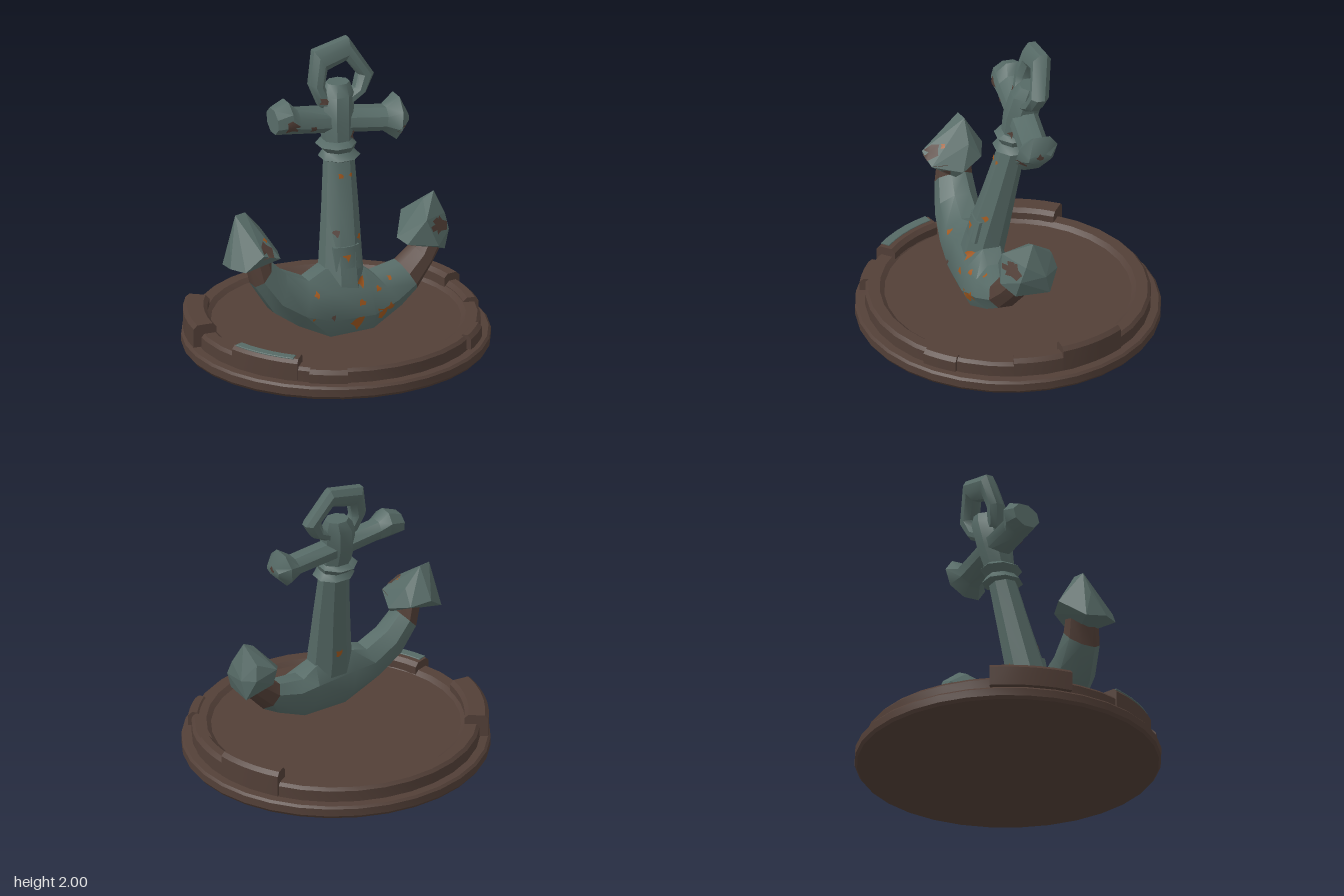
import * as THREE from 'three';
import { toCreasedNormals } from 'three/addons/utils/BufferGeometryUtils.js';
import { ConvexGeometry } from 'three/addons/geometries/ConvexGeometry.js';

const LEAN = -0.23; // the anchor leans backwards: change of z per unit of y
const leanZ = (y) => 0.27 + LEAN * y;
const V = (x, y, z) => new THREE.Vector3(x, y, z);

// Joins rings of points into a skin, with fan caps or closed into a loop
function loft(rings, closed = false, crease = 0.7) {
  const n = rings[0].length, m = rings.length, pts = rings.flat(), idx = [];
  for (let i = 0; i < (closed ? m : m - 1); i++) {
    const p = i * n, q = ((i + 1) % m) * n;
    for (let j = 0; j < n; j++) {
      const k = (j + 1) % n;
      idx.push(p + j, p + k, q + k, p + j, q + k, q + j);
    }
  }
  if (!closed) {
    [0, m - 1].forEach((r, end) => {
      const c = rings[r].reduce((s, v) => s.add(v), V(0, 0, 0)).divideScalar(n);
      const ci = pts.push(c) - 1;
      for (let j = 0; j < n; j++) {
        const a = r * n + j, b = r * n + (j + 1) % n;
        if (end) idx.push(ci, a, b); else idx.push(ci, b, a);
      }
    });
  }
  // turn the faces outwards
  let vol = 0;
  for (let i = 0; i < idx.length; i += 3) {
    vol += pts[idx[i]].dot(V(0, 0, 0).crossVectors(pts[idx[i + 1]], pts[idx[i + 2]]));
  }
  if (vol < 0) idx.reverse();
  const g = new THREE.BufferGeometry().setFromPoints(pts);
  g.setIndex(idx);
  return toCreasedNormals(g, crease);
}

// Octagonal section between two outline points (a, b), at depth z with half depth d
function section([ax, ay, bx, by, z, d]) {
  const ring = [], k = 1 / Math.cos(Math.PI / 8), cy = (ay + by) / 2;
  for (let i = 0; i < 8; i++) {
    const t = (i + 0.5) * Math.PI / 4, c = Math.cos(t) * k / 2, s = Math.sin(t) * k;
    const y = cy + (by - ay) * c;
    ring.push(V((ax + bx) / 2 + (bx - ax) * c, y, (z ?? leanZ(cy)) + LEAN * (y - cy) + s * d));
  }
  return ring;
}

// Bevelled arc segment lying on the rim of the base, angles in degrees
function rimPiece(a0, a1, r0, r1, y1, y0 = 0.1, b = 0.025) {
  const prof = [[r0, y0], [r0, y1 - b], [r0 + b, y1], [r1 - b, y1], [r1, y1 - b], [r1, y0]];
  const rings = [], steps = 5;
  for (let i = 0; i <= steps; i++) {
    const a = THREE.MathUtils.degToRad(a0 + (a1 - a0) * i / steps);
    rings.push(prof.map(([r, y]) => V(r * Math.cos(a), y, r * Math.sin(a))));
  }
  return loft(rings, false, 0.5);
}

export function createModel() {
  const group = new THREE.Group();
  const mat = (name, color) => Object.assign(new THREE.MeshStandardMaterial({ color }), { name });
  const teal = mat('tealMetal', 0x566a66);
  const brown = mat('brownRust', 0x523f37);
  const orange = mat('orangeRust', 0xa0581f);
  const add = (name, geo, m) => {
    const mesh = new THREE.Mesh(geo, m);
    mesh.name = name;
    group.add(mesh);
    return mesh;
  };

  // Two-tier round base with a shallow recess
  const profile = [[0, 0], [0.975, 0], [0.99, 0.02], [0.99, 0.07], [0.975, 0.085], [0.925, 0.09],
    [0.925, 0.165], [0.905, 0.185], [0.83, 0.185], [0.8, 0.16], [0, 0.16]];
  const base = new THREE.LatheGeometry(profile.map(([x, y]) => new THREE.Vector2(x, y)), 32);
  base.scale(1, 1, 0.985);
  add('base', toCreasedNormals(base, 0.6), brown);

  // Broken lumps along the rim
  [[184, 216, 0.82, 0.975, 0.25], [131, 161, 0.8, 0.93, 0.24], [111, 126, 0.84, 0.95, 0.185],
    [-35, -7, 0.82, 0.935, 0.265], [-8, 13, 0.83, 0.93, 0.215], [36, 50, 0.86, 0.945, 0.195]]
    .forEach((p) => add('rimLump', rimPiece(...p), brown));
  add('rimStrip', rimPiece(133, 160, 0.855, 0.915, 0.246, 0.238, 0.003), teal);

  // Curved arms with the crown in the middle
  const arms = [
    [-0.69, 0.59, -0.56, 0.73, 0.19, 0.11], [-0.57, 0.4, -0.46, 0.63, 0.2, 0.125],
    [-0.4, 0.28, -0.3, 0.55, 0.2, 0.135], [-0.18, 0.17, -0.17, 0.6, 0.19, 0.14],
    [0.13, 0.17, 0.1, 0.56, 0.18, 0.14], [0.35, 0.27, 0.19, 0.49, 0.16, 0.125],
    [0.48, 0.35, 0.38, 0.52, 0.13, 0.11]];
  const targets = [add('arms', loft(arms.map(section)), teal)];
  const leftEnd = [[0.48, 0.35, 0.38, 0.52, 0.13, 0.11], [0.6, 0.48, 0.5, 0.6, 0.1, 0.1],
    [0.7, 0.6, 0.6, 0.74, 0.06, 0.09]];
  const rightEnd = [[-0.69, 0.59, -0.56, 0.73, 0.19, 0.11], [-0.72, 0.75, -0.58, 0.82, 0.18, 0.1]];
  add('leftArmEnd', loft(leftEnd.map(section)), brown);
  add('rightArmEnd', loft(rightEnd.map(section)), brown);

  // Faceted flukes
  const fluke = (name, pts) => targets.push(add(name, new ConvexGeometry(pts.map((p) => V(...p))), teal));
  fluke('rightFluke', [[-0.77, 1.05, 0.12], [-0.69, 1.05, 0.1], [-0.82, 0.9, 0.15], [-0.58, 0.92, 0.1],
    [-0.85, 0.72, 0.1], [-0.86, 0.74, 0.24], [-0.8, 0.74, 0.34], [-0.69, 0.85, 0.38], [-0.56, 0.8, 0.35],
    [-0.49, 0.77, 0.16], [-0.53, 0.72, 0.2], [-0.57, 0.82, 0.02], [-0.7, 0.85, -0.02], [-0.7, 0.71, 0.2]]);
  fluke('leftFluke', [[0.68, 0.92, 0.02], [0.6, 0.88, 0.03], [0.73, 0.78, 0.08], [0.74, 0.7, -0.05],
    [0.72, 0.57, -0.08], [0.7, 0.56, 0.14], [0.74, 0.68, 0.12], [0.62, 0.62, 0.22], [0.55, 0.8, 0.19],
    [0.42, 0.65, 0.18], [0.4, 0.66, 0.06], [0.52, 0.76, -0.13], [0.53, 0.64, -0.1], [0.68, 0.72, -0.14],
    [0.66, 0.82, -0.11]]);

  // Tapered shank, collar and head, stacked as [left x, right x, y, half depth]
  const upright = (name, rows) => {
    const rings = rows.map(([x0, x1, y, d]) => section([x0, y, x1, y, undefined, d]));
    targets.push(add(name, loft(rings), teal));
  };
  upright('shank', [[-0.185, 0.1, 0.45, 0.13], [-0.165, 0.1, 0.6, 0.125], [-0.11, 0.115, 0.95, 0.1],
    [-0.06, 0.125, 1.3, 0.08]]);
  upright('collar', [[-0.05, 0.12, 1.25, 0.08], [-0.095, 0.16, 1.27, 0.12], [-0.065, 0.125, 1.31, 0.09],
    [-0.105, 0.14, 1.35, 0.125], [-0.06, 0.12, 1.38, 0.09]]);
  upright('head', [[-0.06, 0.12, 1.34, 0.085], [-0.07, 0.14, 1.5, 0.105], [-0.05, 0.16, 1.66, 0.1],
    [0, 0.145, 1.73, 0.065]]);
  add('shankPlate', loft([0.585, 0.735].map((y) => section([-0.115, y, 0.065, y, leanZ(y) + 0.09, 0.035]))), teal);

  // Stock with flared ends
  const stock = [[-0.41, 1.48, -0.4, 1.63, -0.09, 0.085], [-0.3, 1.47, -0.3, 1.67, -0.09, 0.1],
    [-0.24, 1.46, -0.24, 1.61, -0.08, 0.08], [0.04, 1.42, 0.06, 1.57, -0.08, 0.085],
    [0.34, 1.38, 0.38, 1.52, -0.07, 0.085], [0.42, 1.32, 0.47, 1.58, -0.065, 0.125],
    [0.51, 1.41, 0.52, 1.48, -0.07, 0.07]];
  targets.push(add('stock', loft(stock.map(section)), teal));

  // Angular ring at the top
  const ring = [[-0.13, 1.74, -0.03, 1.72], [-0.08, 1.95, 0, 1.82], [0.17, 2, 0.14, 1.86],
    [0.32, 1.75, 0.21, 1.76], [0.25, 1.64, 0.18, 1.68], [0.05, 1.53, 0.05, 1.62], [-0.08, 1.6, -0.01, 1.67]];
  targets.push(add('topRing', loft(ring.map((r) => section([...r, undefined, 0.058])), true), teal));

  // Rust patches: small irregular polygons draped over the metal along an axis
  const ray = new THREE.Raycaster();
  group.updateMatrixWorld(true);
  const patch = (m, u, y, r, from = V(0, 0, 1)) => {
    const side = V(from.z, 0, -from.x);
    const drop = (du, dy) => {
      const o = side.clone().multiplyScalar(u + du).addScaledVector(from, 3).setY(y + dy);
      ray.set(o, from.clone().negate());
      const hit = ray.intersectObjects(targets)[0];
      return hit && hit.point.addScaledVector(from, 0.006);
    };
    const c = drop(0, 0), idx = [];
    if (!c) return;
    const pts = [c];
    for (let i = 0; i < 8; i++) {
      const a = i * Math.PI / 4, k = r * (0.85 + 0.3 * Math.sin(i * 2.7 + u * 40 + y * 17));
      const p = drop(k * Math.cos(a), k * Math.sin(a));
      pts.push(p && p.distanceTo(c) < r * 2.2 ? p : c.clone());
      idx.push(0, i + 1, (i + 1) % 8 + 1);
    }
    const g = new THREE.BufferGeometry().setFromPoints(pts);
    g.setIndex(idx);
    g.computeVertexNormals();
    add('rustPatch', g, m);
  };
  [[-0.31, 1.53, 0.05], [-0.16, 1.49, 0.025], [0.45, 1.39, 0.04], [-0.65, 0.86, 0.05], [-0.54, 0.78, 0.04],
    [0.67, 0.73, 0.055], [-0.08, 0.82, 0.025], [-0.18, 0.32, 0.02], [-0.06, 1.64, 0.03], [0.12, 1.4, 0.03]]
    .forEach((p) => patch(brown, ...p));
  [[0, 0.25, 0.055], [0.18, 0.28, 0.05], [0.24, 0.31, 0.03], [0.05, 0.5, 0.035], [-0.28, 0.48, 0.022],
    [0.03, 0.38, 0.025], [-0.03, 0.68, 0.035], [-0.01, 1.17, 0.02], [0.06, 1.17, 0.015], [0.08, 0.77, 0.022],
    [0.16, 0.44, 0.02], [0.27, 0.47, 0.015], [0.41, 0.48, 0.02], [-0.32, 0.33, 0.012], [-0.62, 0.91, 0.02],
    [0.27, 1.84, 0.022]].forEach((p) => patch(orange, ...p));
  patch(brown, -0.17, 0.75, 0.045, V(1, 0, 0));
  patch(brown, 0.07, 1.46, 0.025, V(1, 0, 0));
  patch(orange, 0.02, 0.66, 0.03, V(0, 0, -1));

  return group;
}
